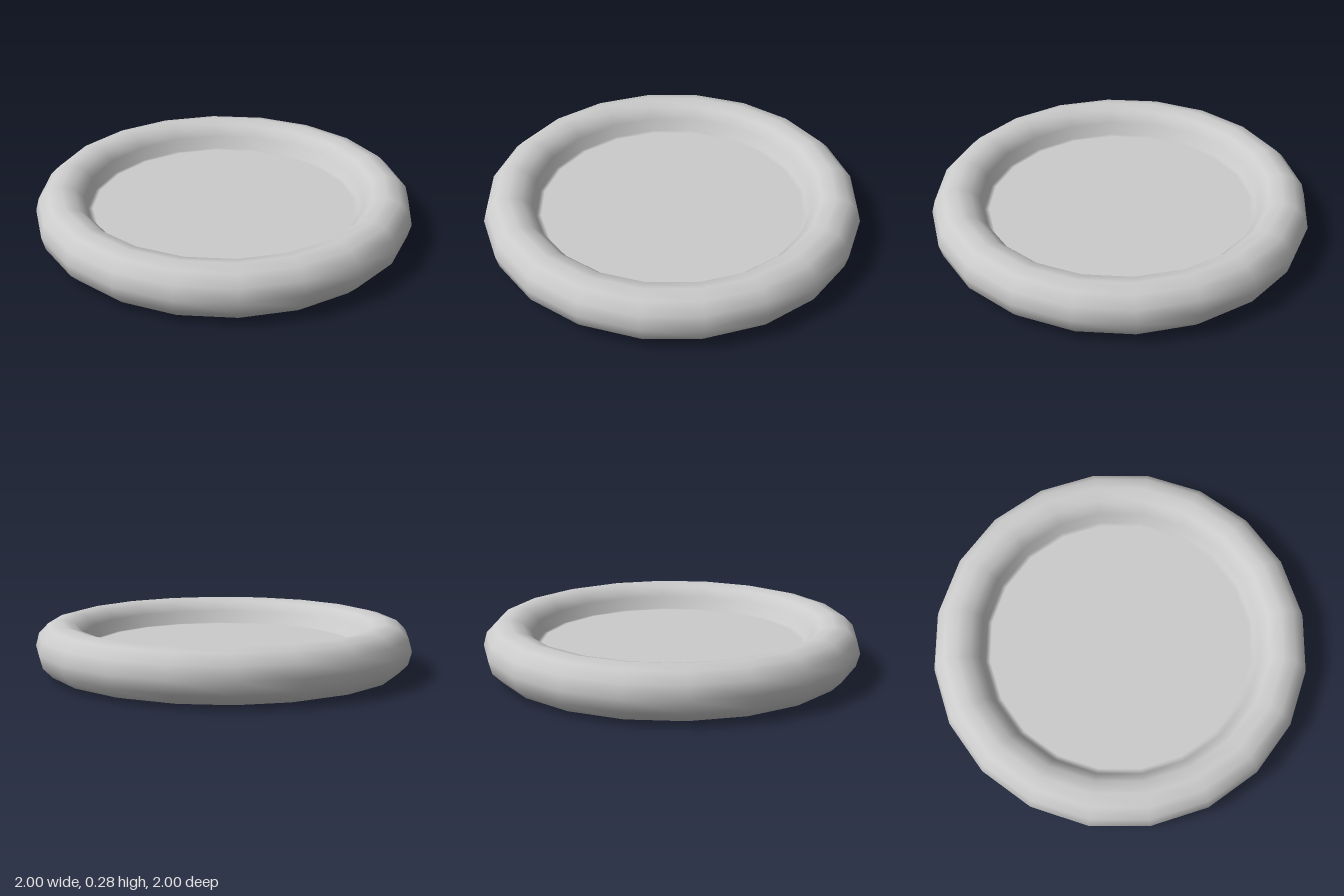
import * as THREE from 'three';

export function createModel() {
  const group = new THREE.Group();
  const material = new THREE.MeshStandardMaterial({ color: 0xcccccc });
  const sides = 20;
  const tube = 0.1375;
  const ringRadius = 1 - tube;
  const floorEdge = 0.7;

  // Puffy rim section, from the underside of the floor round to its top
  const rim = [];
  for (let deg = -150; deg <= 180; deg += 30) {
    const a = THREE.MathUtils.degToRad(deg);
    rim.push(new THREE.Vector2(ringRadius + tube * Math.cos(a), tube + tube * Math.sin(a)));
  }

  // Floor blends softly into the rim above and below
  const underside = rim[0].y;
  const top = rim[rim.length - 1].y;
  const profile = [
    new THREE.Vector2(0, underside),
    new THREE.Vector2(floorEdge, underside),
    ...rim,
    new THREE.Vector2(floorEdge, top),
    new THREE.Vector2(0, top),
  ];

  const dish = new THREE.Mesh(new THREE.LatheGeometry(profile, sides), material);
  dish.name = 'dish';
  group.add(dish);
  return group;
}
